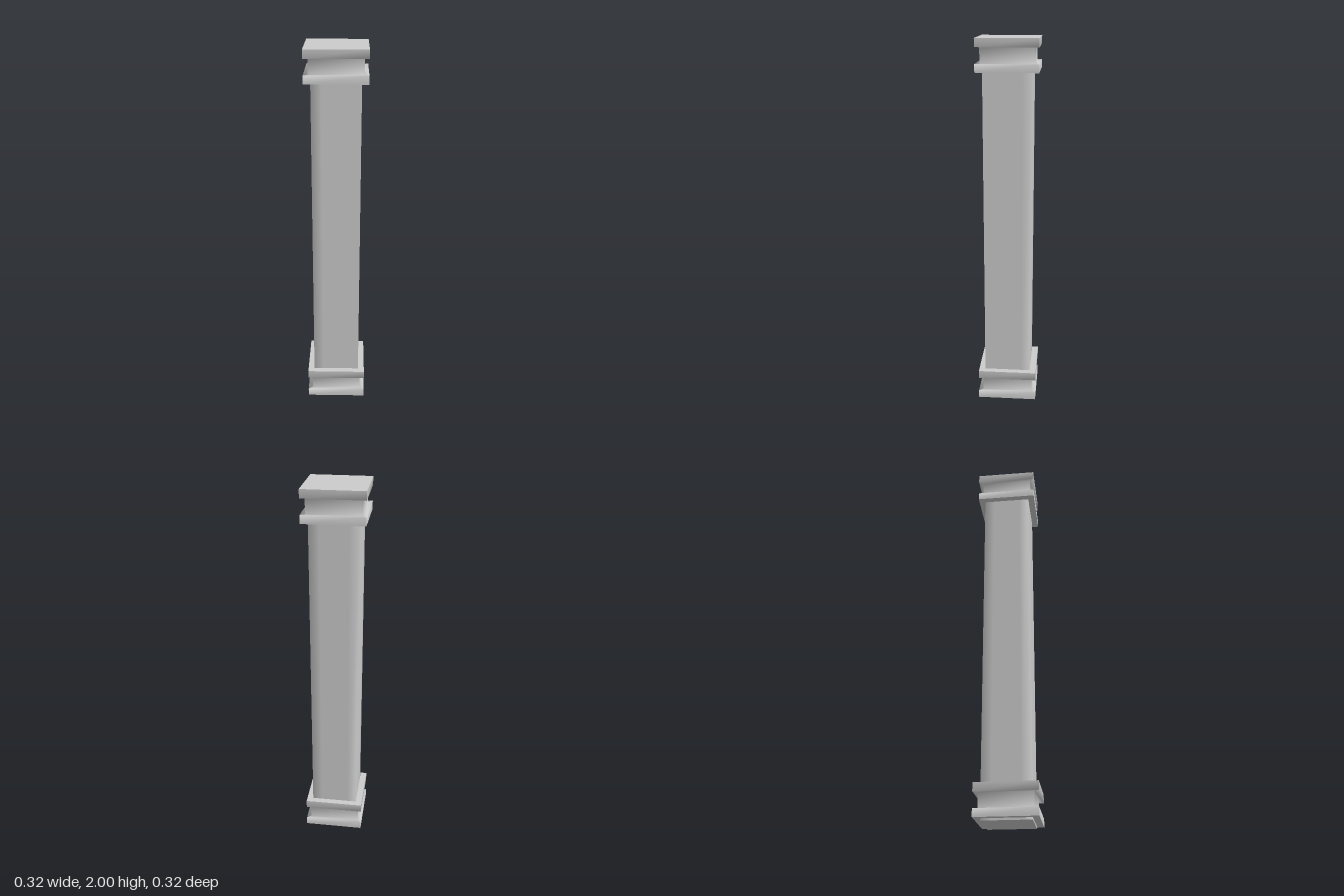
import * as THREE from 'three';
import { mergeGeometries } from 'three/addons/utils/BufferGeometryUtils.js';

const material = new THREE.MeshStandardMaterial({ color: 0xcccccc });

// Moulding section as [half width, height], from top to bottom
const PROFILE = [
  [0.16, 0.166], [0.16, 0.122], [0.137, 0.122],
  [0.137, 0.042], [0.16, 0.042], [0.16, 0],
];
const SHAFT = 0.126;

// Horizontal square facing up or down
function cap(half, y, up) {
  return new THREE.PlaneGeometry(half * 2, half * 2)
    .rotateX(up ? -Math.PI / 2 : Math.PI / 2)
    .translate(0, y, 0);
}

// Square moulding: four mitred strips, shaded smoothly along the profile
function mouldingGeometry() {
  const side = new THREE.PlaneGeometry(2, 1, 1, PROFILE.length - 1);
  const pos = side.attributes.position;
  for (let i = 0; i < pos.count; i++) {
    const [half, y] = PROFILE[Math.floor(i / 2)];
    pos.setXYZ(i, Math.sign(pos.getX(i)) * half, y, half);
  }
  side.computeVertexNormals();
  const parts = [0, 1, 2, 3].map((k) => side.clone().rotateY((k * Math.PI) / 2));
  parts.push(cap(0.16, 0.166, true), cap(0.16, 0, false));
  return mergeGeometries(parts);
}

// Square shaft wrapped from one sharp seam, with softly shaded other corners
function shaftGeometry(height) {
  const wrap = new THREE.CylinderGeometry(1, 1, height, 12, 1, true);
  const pos = wrap.attributes.position;
  const steps = [1, 0.58, -0.58];
  for (let i = 0; i < pos.count; i++) {
    const n = i % 13;
    const p = new THREE.Vector3(SHAFT, pos.getY(i) + height / 2, SHAFT * steps[n % 3]);
    p.applyAxisAngle(new THREE.Vector3(0, 1, 0), (Math.floor(n / 3) * Math.PI) / 2);
    pos.setXYZ(i, p.x, p.y, p.z);
  }
  wrap.computeVertexNormals();
  return mergeGeometries([wrap, cap(SHAFT, 0, false), cap(SHAFT, height, true)]);
}

export function createModel() {
  const group = new THREE.Group();
  group.name = 'column';

  const shaft = new THREE.Mesh(shaftGeometry(1.9), material);
  shaft.name = 'shaft';
  group.add(shaft);

  // Matching base and capital
  const moulding = mouldingGeometry();
  for (const [name, y] of [['base', 0.011], ['capital', 1.834]]) {
    const mesh = new THREE.Mesh(moulding, material);
    mesh.name = name;
    mesh.position.y = y;
    group.add(mesh);
  }
  return group;
}
